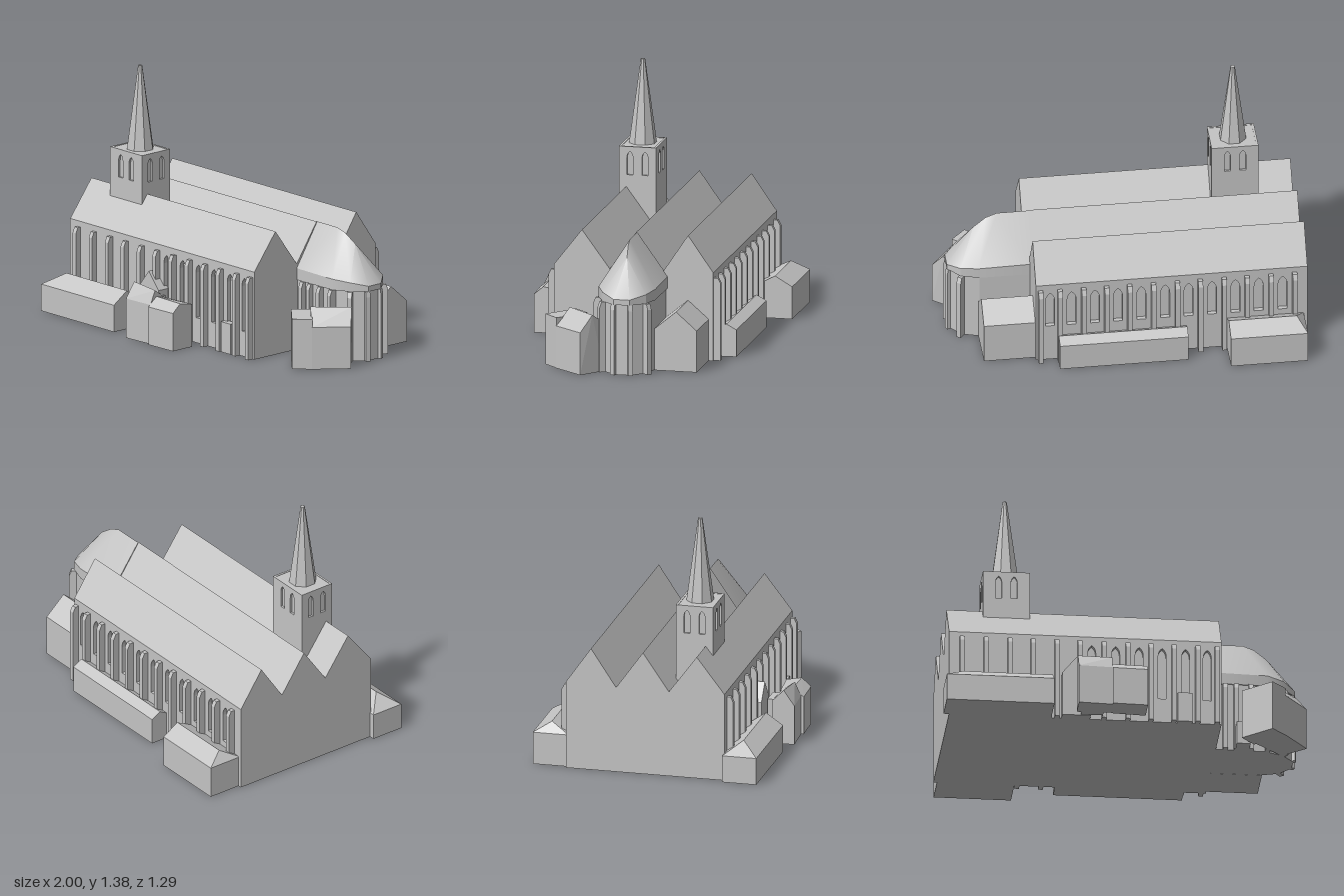
import * as THREE from 'three';
import { ConvexGeometry } from 'three/addons/geometries/ConvexGeometry.js';
import { toCreasedNormals } from 'three/addons/utils/BufferGeometryUtils.js';

const stone = new THREE.MeshStandardMaterial({ color: 0xc4c4c4 });
stone.name = 'paleStone';

export function createModel() {
  const root = new THREE.Group();
  root.name = 'church';

  const add = (name, geo, parent = root) => {
    const m = new THREE.Mesh(geo, stone);
    m.name = name;
    parent.add(m);
    return m;
  };
  const group = (name) => {
    const g = new THREE.Group();
    g.name = name;
    root.add(g);
    return g;
  };
  const hull = (name, pts, parent) =>
    add(name, new ConvexGeometry(pts.map((p) => new THREE.Vector3(...p))), parent);
  const shapeOf = (pts) => new THREE.Shape(pts.map((p) => new THREE.Vector2(...p)));
  const extrude = (shape, depth) =>
    new THREE.ExtrudeGeometry(shape, { depth, bevelEnabled: false, curveSegments: 4 });
  const box = (name, x0, x1, y0, y1, z0, z1, parent) =>
    add(name, new THREE.BoxGeometry(x1 - x0, y1 - y0, z1 - z0)
      .translate((x0 + x1) / 2, (y0 + y1) / 2, (z0 + z1) / 2), parent);

  // Vertical prism over a plan of [x, z] points
  const planPrism = (name, plan, y0, y1, parent) => {
    const geo = extrude(shapeOf(plan.map(([x, z]) => [x, -z])), y1 - y0);
    geo.rotateX(-Math.PI / 2).translate(0, y0, 0);
    return add(name, geo, parent);
  };

  // Pointed window opening
  const lancet = (cx, y0, y1, w) => {
    const p = new THREE.Path(), h = w / 2, spring = y1 - w * 1.1;
    p.moveTo(cx - h, y0);
    p.lineTo(cx + h, y0);
    p.lineTo(cx + h, spring);
    p.quadraticCurveTo(cx + h, y1 - w * 0.35, cx, y1);
    p.quadraticCurveTo(cx - h, y1 - w * 0.35, cx - h, spring);
    p.closePath();
    return p;
  };
  const piercedWall = (x0, x1, y0, y1, windows, depth) => {
    const s = shapeOf([[x0, y0], [x1, y0], [x1, y1], [x0, y1]]);
    s.holes.push(...windows);
    return extrude(s, depth);
  };

  // Gabled building along x, optionally hipped at its -x end
  const gabled = (name, x0, x1, z0, z1, eave, ridge, zr = (z0 + z1) / 2, hip = 0) => {
    const pts = [[x0 + hip, ridge, zr], [x1, ridge, zr]];
    for (const x of [x0, x1]) for (const z of [z0, z1]) pts.push([x, 0, z], [x, eave, z]);
    return hull(name, pts);
  };

  // Triple-gabled hall
  const section = [
    [0.40, 0], [0.40, 0.455], [0.425, 0.455], [0.425, 0.49], [0.27, 0.69], [0.115, 0.48],
    [-0.03, 0.69], [-0.18, 0.48], [-0.32, 0.69], [-0.46, 0.49], [-0.46, 0.455],
    [-0.435, 0.455], [-0.435, 0],
  ];
  const hall = extrude(shapeOf(section.map(([z, y]) => [-z, y]).reverse()), 1.48);
  add('hall', hall.rotateY(Math.PI / 2).translate(-0.97, 0, 0));

  // Side walls with windows
  const bays = [-0.9, -0.77, -0.64, -0.515, -0.385, -0.26, -0.13, 0, 0.125, 0.25, 0.38, 0.485];
  const mids = bays.slice(1).map((b, i) => (b + bays[i]) / 2);
  add('frontWall', piercedWall(-0.97, 0.51, 0, 0.455,
    mids.filter((x) => x > -0.25).map((x) => lancet(x, 0.14, 0.44, 0.044)), 0.025))
    .position.z = 0.40;
  add('backWall', piercedWall(-0.97, 0.51, 0, 0.455,
    mids.map((x) => lancet(x, 0.22, 0.435, 0.05)), 0.025)).position.z = -0.46;

  // Buttresses with sloping tops, pointing outward along local +z
  const buttress = (x, z, angle, h, reach, parent) => {
    const s = shapeOf([[-0.01, 0], [reach, 0], [reach, h - 0.03], [reach * 0.6, h], [-0.01, h]]);
    const geo = extrude(s, 0.026).translate(0, 0, -0.013).rotateY(-Math.PI / 2);
    const m = add('buttress', geo, parent);
    m.position.set(x, 0, z);
    m.rotation.y = angle;
  };
  const buttresses = group('buttresses');
  for (const x of bays) {
    buttress(x, 0.425, 0, 0.458, 0.034, buttresses);
    buttress(x, -0.46, Math.PI, 0.458, 0.038, buttresses);
  }
  for (const x of [0.56, 0.62, 0.70, 0.79]) buttress(x, 0.105, 0, 0.39, 0.032, buttresses);
  buttress(0.88, 0.06, 0.65, 0.39, 0.03, buttresses);
  buttress(0.88, -0.175, 2.5, 0.39, 0.03, buttresses);
  buttress(0.94, -0.01, 1.2, 0.39, 0.015, buttresses);
  buttress(0.94, -0.1, 1.95, 0.39, 0.015, buttresses);

  // Choir with polygonal apse
  const eaves = [
    [0.5, 0.115, 0.455], [0.79, 0.11, 0.45], [0.885, 0.065, 0.44], [0.95, -0.01, 0.42],
    [0.95, -0.1, 0.42], [0.885, -0.175, 0.44], [0.79, -0.205, 0.45], [0.5, -0.205, 0.455],
  ];
  const wallPlan = eaves.map(([x, z]) => [0.5 + (x - 0.5) * 0.98, -0.045 + (z + 0.045) * 0.96]);
  planPrism('choirWalls', wallPlan, 0, 0.40);
  const choirRoof = hull('choirRoof', [
    [0.5, 0.69, -0.035], [0.67, 0.69, -0.035], [0.73, 0.67, -0.04], [0.8, 0.62, -0.05],
    ...eaves.flatMap(([x, z, y]) => [[x, y, z], [x, 0.39, z]]),
  ]);
  choirRoof.geometry = toCreasedNormals(choirRoof.geometry, 0.5);

  // Bell tower with paired openings on every side
  const tower = group('tower');
  tower.position.set(-0.6475, 0, 0.2075);
  const tx = 0.1275, tz = 0.1035, t = 0.012;
  box('towerCore', -tx + t, tx - t, 0.4, 0.91, -tz + t, tz - t, tower);
  for (let i = 0; i < 4; i++) {
    const half = i % 2 ? tz : tx, out = i % 2 ? tx : tz;
    const wall = add('towerWall', piercedWall(-half, half, 0.4, 0.912,
      [-0.042, 0.042].map((x) => lancet(x, 0.755, 0.885, 0.034)), t)
      .translate(0, 0, out - t), tower);
    wall.rotation.y = i * Math.PI / 2;
  }
  const spire = new THREE.CylinderGeometry(0.012, 0.076, 0.465, 8).toNonIndexed();
  spire.computeVertexNormals();
  add('spire', spire.rotateY(Math.PI / 8).translate(0, 1.1425, 0), tower);

  // Low buildings against the hall
  gabled('frontAnnex', -1.0, -0.415, 0.42, 0.61, 0.15, 0.215, 0.515, 0.1);
  gabled('backAnnex', -0.95, -0.53, -0.65, -0.45, 0.18, 0.235, -0.555, 0.05);
  gabled('backAisle', -0.31, 0.39, -0.56, -0.45, 0.15, 0.18, -0.505);
  gabled('sacristy', 0.5, 0.79, -0.435, -0.2, 0.23, 0.33, -0.32);

  // Porch with a gable toward the front
  add('porch', extrude(shapeOf([[-0.36, 0], [-0.205, 0], [-0.205, 0.25], [-0.283, 0.345],
    [-0.36, 0.25]]), 0.07)).position.z = 0.405;
  box('sideDoor', 0.27, 0.35, 0, 0.17, 0.41, 0.452);

  // Pair of small houses in front
  const houseEnds = (name, a, b) => hull(name, [a, b].flatMap(
    ([x, z0, zr, z1, back, ridge, front]) =>
      [[x, 0, z0], [x, back, z0], [x, ridge, zr], [x, front, z1], [x, 0, z1]]));
  houseEnds('leftHouse', [-0.285, 0.515, 0.58, 0.64, 0.24, 0.305, 0.22],
    [-0.10, 0.52, 0.595, 0.63, 0.24, 0.295, 0.22]);
  houseEnds('rightHouse', [-0.10, 0.515, 0.585, 0.645, 0.24, 0.26, 0.212],
    [0.09, 0.5, 0.585, 0.638, 0.24, 0.257, 0.212]);
  box('houseLeanTo', -0.26, -0.14, 0, 0.24, 0.483, 0.53);

  // Angled house beside the apse
  planPrism('eastHouseBlock', [[0.635, 0.27], [0.79, 0.405], [0.868, 0.325], [0.71, 0.19]], 0, 0.28);
  hull('eastHouseWing', [
    [0.868, 0.235, 0.328], [0.998, 0.235, 0.163], [0.79, 0.325, 0.27], [0.945, 0.325, 0.108],
    [0.72, 0.27, 0.2], [0.87, 0.27, 0.06],
    [0.868, 0, 0.328], [0.998, 0, 0.163], [0.72, 0, 0.2], [0.87, 0, 0.06],
  ]);
  box('eastLeanTo', 0.615, 0.69, 0, 0.13, 0.1, 0.2);

  return root;
}
